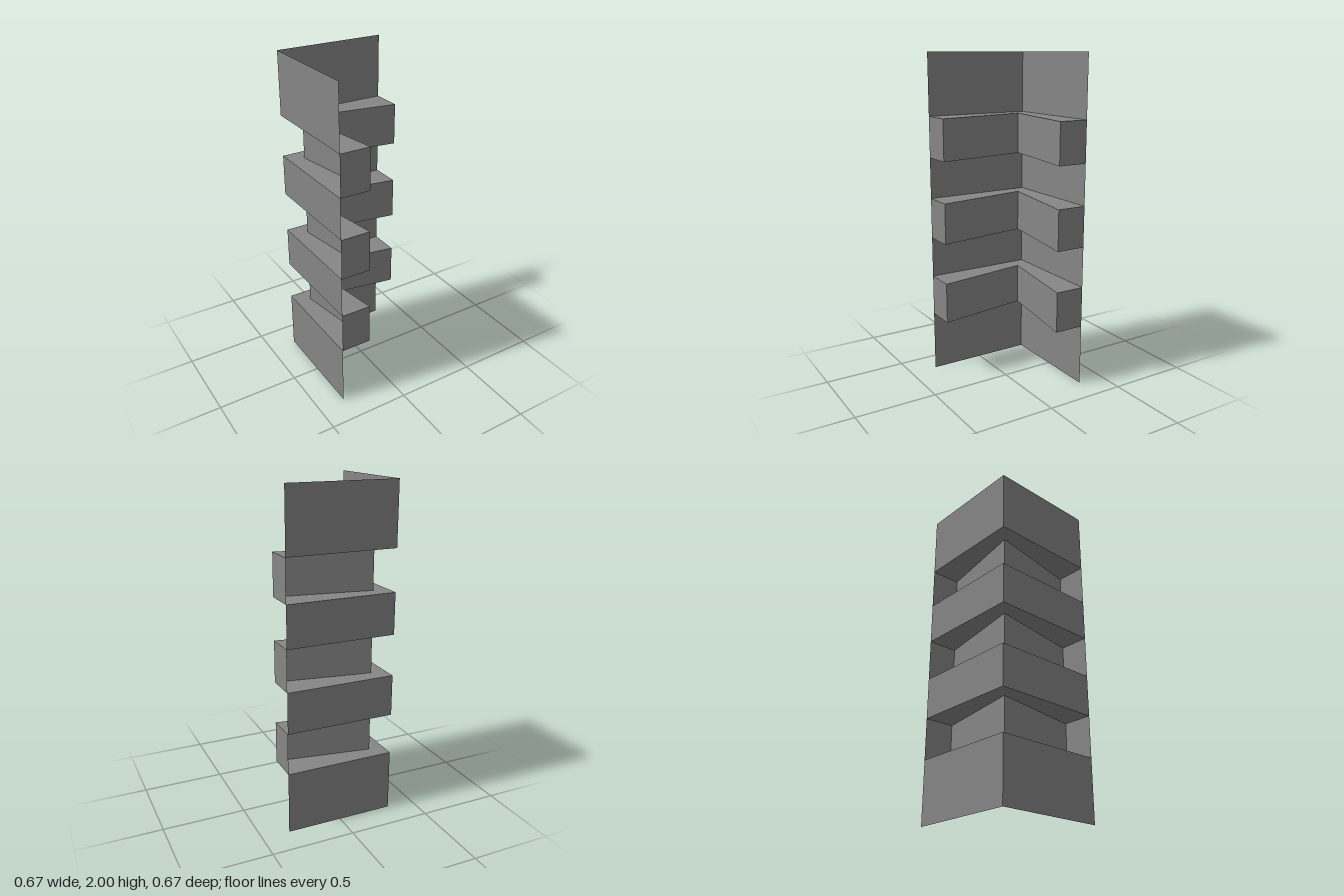
import * as THREE from 'three';

const W = 0.333;      // half width of the folded sheet
const END = -0.148;   // outer end of a step's inner wall
const FOLD = -0.241;  // where a step's two inner walls meet
const STEP = 0.25;    // height of a step

const material = new THREE.MeshStandardMaterial({ color: 0x868686, flatShading: true, side: THREE.DoubleSide });

// Upright sheet following a path of [x, z] points
function ribbon(name, path, y0, y1) {
  const group = new THREE.Group();
  group.name = name;
  for (let i = 0; i < path.length - 1; i++) {
    const [ax, az] = path[i], [bx, bz] = path[i + 1];
    const panel = new THREE.Mesh(new THREE.PlaneGeometry(Math.hypot(bx - ax, bz - az), y1 - y0), material);
    panel.position.set((ax + bx) / 2, (y0 + y1) / 2, (az + bz) / 2);
    panel.rotation.y = Math.atan2(az - bz, bx - ax);
    panel.name = name + 'Panel';
    group.add(panel);
  }
  return group;
}

// Horizontal sheet bounded by [x, z] points
function plate(name, outline, y) {
  const shape = new THREE.Shape(outline.map(([x, z]) => new THREE.Vector2(x, -z)));
  const mesh = new THREE.Mesh(new THREE.ShapeGeometry(shape).rotateX(-Math.PI / 2), material);
  mesh.position.y = y;
  mesh.name = name;
  return mesh;
}

export function createModel() {
  const model = new THREE.Group();
  model.name = 'foldedColumn';

  const corner = [[-W, W], [-W, -W], [W, -W]];
  const inner = [[-W, W], [END, W], [FOLD, FOLD], [W, END], [W, -W]];

  // Corner wall bands, with slots left open behind the steps
  const bands = [[0, 0.375], [0.625, 0.875], [1.125, 1.375], [1.625, 2]];
  for (const [y0, y1] of bands) model.add(ribbon('wallBand', corner, y0, y1));

  // Hollow steps pushed forward out of the slots
  for (const y of [0.375, 0.875, 1.375]) {
    const step = new THREE.Group();
    step.name = 'step';
    step.add(
      ribbon('stepWall', inner, y, y + STEP),
      plate('stepFloor', [...inner, [-W, -W]], y),
      plate('stepTop', [...inner, [-W, -W]], y + STEP)
    );
    model.add(step);
  }
  return model;
}
